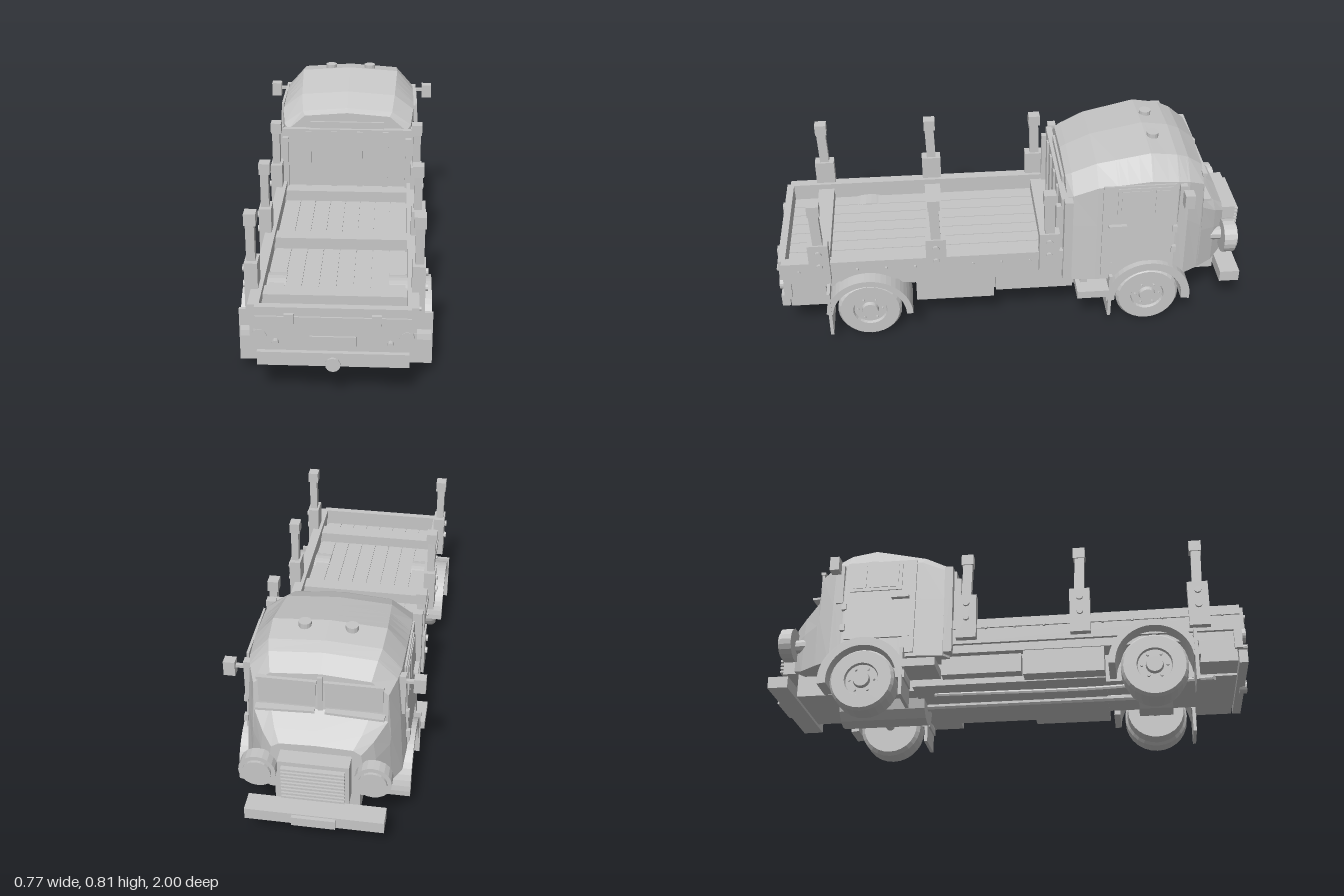
import * as THREE from 'three';

const grey = new THREE.MeshStandardMaterial({ color: 0xc6c6c6, flatShading: true });
grey.name = 'plain grey';

function add(parent, name, geometry) {
  const mesh = new THREE.Mesh(geometry, grey);
  mesh.name = name;
  parent.add(mesh);
  return mesh;
}

// Box given by its limits on each axis
function box(parent, name, x0, x1, y0, y1, z0, z1) {
  const m = add(parent, name, new THREE.BoxGeometry(Math.abs(x1 - x0), y1 - y0, Math.abs(z1 - z0)));
  m.position.set((x0 + x1) / 2, (y0 + y1) / 2, (z0 + z1) / 2);
  return m;
}

// Cylinder along one axis
function cyl(parent, name, r, length, axis, x, y, z, sides = 16) {
  const g = new THREE.CylinderGeometry(r, r, length, sides);
  if (axis === 'x') g.rotateZ(-Math.PI / 2);
  if (axis === 'z') g.rotateX(Math.PI / 2);
  const m = add(parent, name, g);
  m.position.set(x, y, z);
  return m;
}

// Curved strip over a wheel
function fender(parent, name, x0, x1, z, rIn, rOut, a0, a1) {
  const s = new THREE.Shape();
  s.absarc(0, 0, rOut, a0, a1, false);
  s.absarc(0, 0, rIn, a1, a0, true);
  const g = new THREE.ExtrudeGeometry(s, { depth: x1 - x0, bevelEnabled: false, curveSegments: 12 });
  g.rotateY(-Math.PI / 2);
  const m = add(parent, name, g);
  m.position.set(x1, 0.135, z);
}

// Cab cross-sections: z, bottom y, bottom x, mid x, mid y, shoulder x, shoulder y, roof x, roof y, top y
const sections = [
  [-0.215, 0.23, 0.28, 0.275, 0.48, 0.265, 0.62, 0.19, 0.685, 0.70],
  [-0.24, 0.23, 0.31, 0.295, 0.50, 0.285, 0.64, 0.20, 0.70, 0.715],
  [-0.34, 0.23, 0.32, 0.305, 0.50, 0.295, 0.68, 0.21, 0.745, 0.76],
  [-0.56, 0.23, 0.32, 0.305, 0.50, 0.294, 0.70, 0.22, 0.79, 0.805],
  [-0.67, 0.23, 0.32, 0.305, 0.50, 0.29, 0.69, 0.215, 0.775, 0.79],
  [-0.72, 0.23, 0.31, 0.295, 0.50, 0.28, 0.68, 0.205, 0.755, 0.77],
  [-0.785, 0.23, 0.275, 0.268, 0.45, 0.255, 0.65, 0.19, 0.705, 0.72],
  [-0.793, 0.23, 0.27, 0.265, 0.42, 0.255, 0.53, 0.19, 0.555, 0.56],
  [-0.86, 0.23, 0.225, 0.22, 0.40, 0.21, 0.48, 0.165, 0.505, 0.51],
  [-0.905, 0.25, 0.18, 0.18, 0.38, 0.17, 0.45, 0.14, 0.47, 0.475],
];

function cabGeometry() {
  const zs = sections.map(s => s[0]);
  const archR = 0.152;
  for (let i = 0; i <= 8; i++) zs.push(-0.57 + archR * Math.cos(i * Math.PI / 8));
  zs.sort((a, b) => b - a);
  const pos = [], index = [], n = 9;
  for (const z of zs) {
    let k = 0;
    while (k < sections.length - 2 && z < sections[k + 1][0]) k++;
    const a = sections[k], b = sections[k + 1], t = (z - a[0]) / (b[0] - a[0]);
    const [, y0, wb, wm, ym, ws, ys, wr, yr, yt] = a.map((v, i) => v + (b[i] - v) * t);
    // The lower edge follows the wheel arch
    const arch = 0.135 + Math.sqrt(Math.max(0, archR * archR - (z + 0.57) ** 2));
    const half = [[wb, Math.max(y0, arch)], [wm, ym], [ws, ys], [wr, yr]];
    const ring = [...half, [0, yt], ...half.slice().reverse().map(p => [-p[0], p[1]])];
    ring.forEach(p => pos.push(p[0], p[1], z));
  }
  for (let i = 0; i < zs.length - 1; i++) for (let j = 0; j < n; j++) {
    const a = i * n + j, b = i * n + (j + 1) % n;
    index.push(a, a + n, b, b, a + n, b + n);
  }
  const e = (zs.length - 1) * n;
  for (let j = 1; j < n - 1; j++) index.push(0, j, j + 1, e, e + j + 1, e + j);
  const g = new THREE.BufferGeometry();
  g.setAttribute('position', new THREE.Float32BufferAttribute(pos, 3));
  g.setIndex(index);
  const flat = g.toNonIndexed();
  flat.computeVertexNormals();
  return flat;
}

function wheel(parent, name, s, x, z, halfWidth, r = 0.135) {
  const w = halfWidth;
  const profile = [[0, -w], [0.12, -w], [r, -w + 0.014], [r, w - 0.014], [0.125, w], [0.072, w], [0.068, w - 0.012],
    [0.036, w - 0.012], [0.032, w + 0.004], [0, w + 0.004]].map(p => new THREE.Vector2(...p));
  const g = new THREE.Group();
  g.name = name;
  g.position.set(s * x, 0.135, z);
  add(g, 'tyreAndRim', new THREE.LatheGeometry(profile, 28).rotateZ(-s * Math.PI / 2));
  for (let i = 0; i < 6; i++) {
    const a = i * Math.PI / 3;
    cyl(g, 'wheelNut', 0.006, 0.012, 'x', s * (w - 0.009), 0.052 * Math.sin(a), 0.052 * Math.cos(a), 6);
  }
  parent.add(g);
}

// Thin plate lying on the sloping cab side
function sidePlate(parent, name, s, y0, y1, z0, z1, out, thick = 0.008) {
  const y = (y0 + y1) / 2;
  const x = 0.32 - 0.055 * (y - 0.23) + out;
  const m = box(parent, name, s * (x - thick / 2), s * (x + thick / 2), y0, y1, z0, z1);
  m.rotation.z = s * 0.055;
}

export function createModel() {
  const root = new THREE.Group();
  root.name = 'stakeTruck';
  const cab = new THREE.Group(), bed = new THREE.Group(), chassis = new THREE.Group();
  cab.name = 'cab'; bed.name = 'cargoBed'; chassis.name = 'chassis';
  root.add(cab, bed, chassis);

  // Cab shell, grille and front bumper
  add(cab, 'cabShell', cabGeometry());
  box(cab, 'rearWindowLedge', -0.165, 0.165, 0.63, 0.66, -0.235, -0.205);
  box(cab, 'grilleFrame', -0.135, 0.135, 0.26, 0.44, -0.97, -0.89);
  for (let i = 0; i < 9; i++) box(cab, 'grilleSlat', -0.12, 0.12, 0.276 + i * 0.017, 0.285 + i * 0.017, -0.99, -0.96);
  box(cab, 'frontBumper', -0.27, 0.27, 0.14, 0.19, -0.985, -0.9);
  box(cab, 'frontPlate', -0.085, 0.085, 0.145, 0.185, -1, -0.98);
  box(cab, 'windscreenPost', -0.01, 0.01, 0.555, 0.71, -0.797, -0.78);

  for (const s of [-1, 1]) {
    // Windscreen panes with top trim and wiper
    box(cab, 'windscreenPane', s * 0.018, s * 0.235, 0.575, 0.68, -0.796, -0.785);
    box(cab, 'windscreenTrim', s * 0.012, s * 0.24, 0.68, 0.692, -0.8, -0.78);
    box(cab, 'wiper', s * 0.02, s * 0.245, 0.556, 0.566, -0.822, -0.79).rotation.y = s * 0.05;

    // Headlights
    cyl(cab, 'headlight', 0.072, 0.05, 'z', s * 0.22, 0.355, -0.92, 20);
    cyl(cab, 'headlightLens', 0.055, 0.012, 'z', s * 0.22, 0.355, -0.95, 20);
    cyl(cab, 'headlightMount', 0.03, 0.08, 'z', s * 0.2, 0.355, -0.87, 10);

    // Door, windows and handle
    sidePlate(cab, 'door', s, 0.32, 0.69, -0.66, -0.36, 0.006);
    sidePlate(cab, 'doorRearEdge', s, 0.245, 0.32, -0.41, -0.36, 0.006);
    sidePlate(cab, 'windowFrame', s, 0.545, 0.68, -0.645, -0.42, 0.011);
    sidePlate(cab, 'doorWindow', s, 0.56, 0.668, -0.56, -0.435, 0.014);
    sidePlate(cab, 'quarterWindow', s, 0.56, 0.668, -0.63, -0.575, 0.014);
    sidePlate(cab, 'doorHandle', s, 0.5, 0.51, -0.46, -0.385, 0.019, 0.02);
    for (const y of [0.36, 0.46]) sidePlate(cab, 'doorHinge', s, y, y + 0.03, -0.675, -0.655, 0.01, 0.016);

    // Mirror and roof lamp
    box(cab, 'mirrorPost', s * 0.28, s * 0.31, 0.5, 0.68, -0.705, -0.675);
    box(cab, 'mirrorArm', s * 0.28, s * 0.35, 0.65, 0.662, -0.705, -0.69);
    box(cab, 'mirror', s * 0.34, s * 0.385, 0.62, 0.682, -0.72, -0.68);
    cyl(cab, 'roofLamp', 0.025, 0.03, 'y', s * 0.09, 0.798, -0.59, 14);

    // Cab step and front fender
    fender(cab, 'frontFender', s > 0 ? 0.22 : -0.345, s > 0 ? 0.345 : -0.22, -0.57, 0.146, 0.182, -0.05, Math.PI + 0.1);
    box(cab, 'frontMudFlap', s * 0.2, s * 0.35, 0.05, 0.26, -0.41, -0.396);
    box(cab, 'cabStep', s * 0.22, s * 0.365, 0.165, 0.2, -0.395, -0.26);
    box(cab, 'stepBracket', s * 0.22, s * 0.3, 0.19, 0.25, -0.31, -0.28);

    // Wheels: single at the front, twin at the back
    wheel(chassis, 'frontWheel', s, 0.275, -0.57, 0.055);
    wheel(chassis, 'rearOuterWheel', s, 0.282, 0.62, 0.048);
    wheel(chassis, 'rearInnerWheel', s, 0.205, 0.62, 0.03, 0.123);
    fender(chassis, 'rearFender', s > 0 ? 0.2 : -0.365, s > 0 ? 0.365 : -0.2, 0.62, 0.155, 0.182, 0.1, Math.PI);
    box(chassis, 'rearMudFlap', s * 0.2, s * 0.37, 0.045, 0.265, 0.778, 0.792);

    // Side boxes under the bed
    box(chassis, 'toolBox', s * 0.15, s * 0.285, 0.14, 0.25, 0.09, 0.42);
    box(chassis, 'sideTank', s * 0.15, s * 0.27, 0.16, 0.24, -0.25, 0.08);
    box(chassis, 'rearSkirt', s * 0.15, s * 0.29, 0.15, 0.28, 0.8, 0.95);
    box(bed, 'lowerRail', s * 0.25, s * 0.29, 0.245, 0.285, -0.2, 0.9);

    // Bed side boards with bolts
    box(bed, 'sideBoard', s * 0.275, s * 0.305, 0.28, 0.345, -0.2, 0.97);
    box(bed, 'sideTopRail', s * 0.27, s * 0.312, 0.345, 0.385, -0.2, 0.97);
    for (let i = 0; i < 9; i++) cyl(bed, 'sideBolt', 0.007, 0.012, 'x', s * 0.314, 0.345, -0.06 + i * 0.12, 6);

    // Stakes with sockets and caps
    for (const z of [0.81, 0.33, -0.14]) {
      box(bed, 'stakeSocket', s * 0.285, s * 0.335, 0.295, 0.49, z - 0.042, z + 0.042);
      cyl(bed, 'socketBolt', 0.014, 0.016, 'x', s * 0.337, 0.45, z, 10);
      cyl(bed, 'socketBolt', 0.014, 0.016, 'x', s * 0.337, 0.385, z, 10);
      box(bed, 'stake', s * 0.295, s * 0.328, 0.4, 0.65, z - 0.02, z + 0.02).rotation.x = 0.03;
      box(bed, 'stakeCap', s * 0.288, s * 0.333, 0.635, 0.682, z - 0.023, z + 0.027);
    }

    // Headboard posts
    box(bed, 'headboardPost', s * 0.262, s * 0.288, 0.3, 0.595, -0.21, -0.17);
    box(bed, 'headboardOuterPost', s * 0.285, s * 0.325, 0.24, 0.635, -0.235, -0.2);

    // Tail lamps and tailgate hinges
    cyl(bed, 'tailLamp', 0.028, 0.02, 'z', s * 0.27, 0.265, 0.978);
    cyl(bed, 'reflector', 0.013, 0.02, 'z', s * 0.21, 0.24, 0.988, 12);
    box(bed, 'tailgateHinge', s * 0.142, s * 0.177, 0.29, 0.362, 0.98, 0.998);
  }

  // Headboard with ribs
  box(bed, 'headboard', -0.288, 0.288, 0.25, 0.63, -0.215, -0.19);
  for (const x of [-0.172, -0.058, 0.058, 0.172]) box(bed, 'headboardRib', x - 0.013, x + 0.013, 0.3, 0.622, -0.195, -0.182);

  // Bed floor planks and cross beams
  box(bed, 'floorBase', -0.28, 0.28, 0.26, 0.306, -0.2, 0.97);
  for (let i = 0; i < 8; i++) box(bed, 'floorPlank', -0.268 + i * 0.067, -0.205 + i * 0.067, 0.3, 0.312, -0.19, 0.965);
  for (const z of [0.81, 0.33, -0.155]) box(bed, 'crossBeam', -0.28, 0.28, 0.3, 0.36, z - 0.035, z + 0.035);

  // Tailgate, rear panel and bumper
  box(bed, 'rearPanel', -0.305, 0.305, 0.2, 0.28, 0.94, 0.972);
  box(bed, 'tailgate', -0.285, 0.285, 0.27, 0.385, 0.955, 0.985);
  box(bed, 'tailgateBand', -0.285, 0.285, 0.34, 0.35, 0.98, 0.992);
  box(bed, 'rearPlate', -0.085, 0.085, 0.225, 0.27, 0.965, 0.992);
  box(chassis, 'rearBumper', -0.28, 0.28, 0.145, 0.2, 0.955, 0.99);
  cyl(chassis, 'towHitch', 0.028, 0.03, 'z', 0, 0.155, 0.985);

  // Frame, axles, drive shaft, engine and exhaust
  box(chassis, 'mainFrame', -0.165, 0.165, 0.14, 0.27, -0.89, 0.95);
  box(chassis, 'middleFrame', -0.22, 0.22, 0.135, 0.26, -0.38, 0.42);
  cyl(chassis, 'frontAxle', 0.02, 0.5, 'x', 0, 0.135, -0.57, 10);
  cyl(chassis, 'rearAxle', 0.025, 0.5, 'x', 0, 0.135, 0.62, 10);
  cyl(chassis, 'differential', 0.085, 0.14, 'z', 0, 0.135, 0.62, 12);
  cyl(chassis, 'engineSump', 0.09, 0.37, 'z', 0, 0.142, -0.54, 12);
  cyl(chassis, 'driveShaft', 0.018, 1.0, 'z', 0, 0.13, 0.1, 10);
  const path = new THREE.CatmullRomCurve3([[-0.13, 0.13, -0.3], [-0.13, 0.125, 0.4], [-0.17, 0.125, 0.75], [-0.245, 0.098, 0.85]]
    .map(p => new THREE.Vector3(...p)));
  add(chassis, 'exhaustPipe', new THREE.TubeGeometry(path, 24, 0.011, 8));
  cyl(chassis, 'exhaustTip', 0.011, 0.01, 'z', -0.245, 0.098, 0.85, 8).rotation.y = -0.62;

  return root;
}
